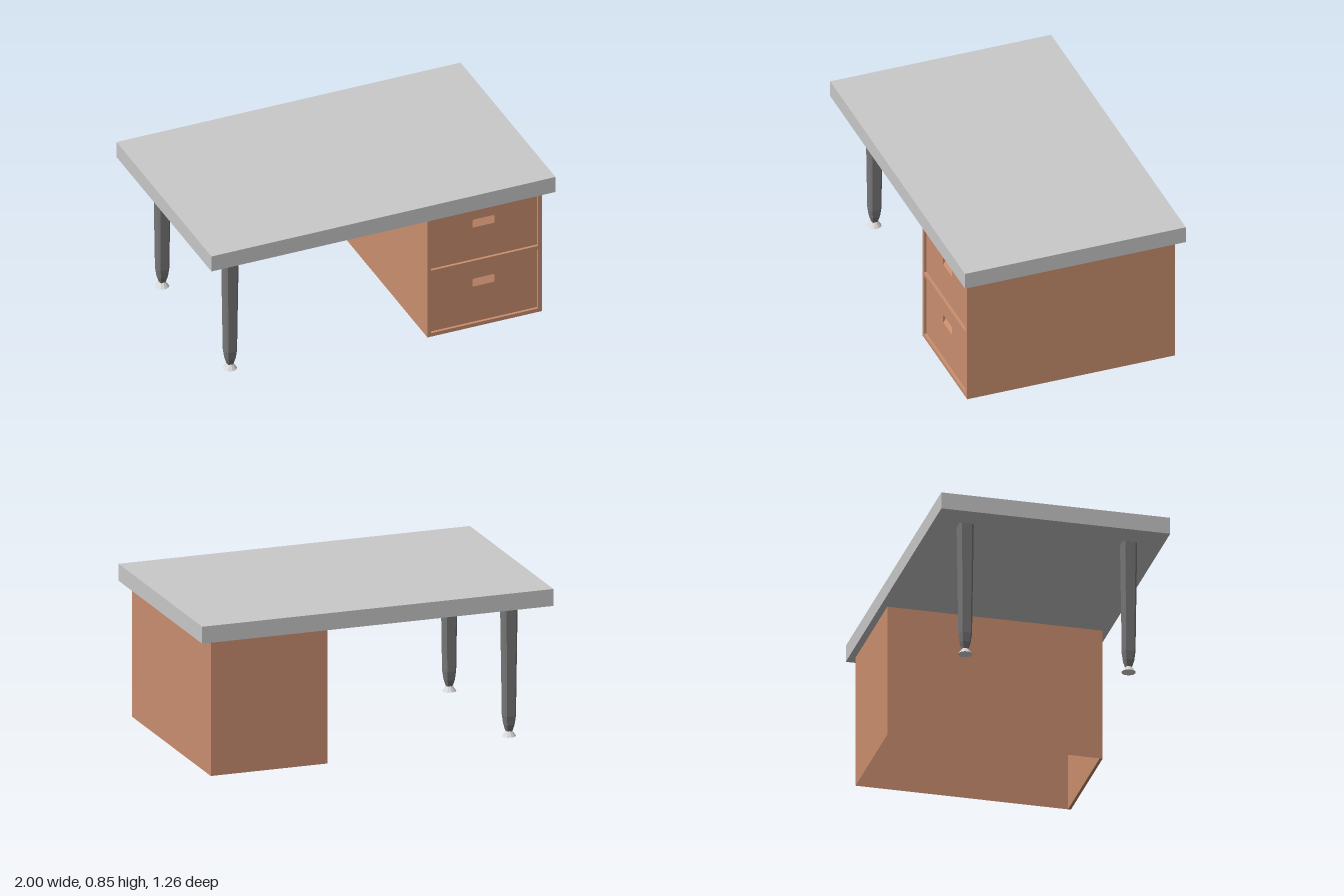
import * as THREE from 'three';

const desktopGrey = new THREE.MeshStandardMaterial({ color: 0xc9c9c9 });
desktopGrey.name = 'desktopGrey';
const cabinetOrange = new THREE.MeshStandardMaterial({ color: 0xca8f6f, side: THREE.DoubleSide });
cabinetOrange.name = 'cabinetOrange';
const legGrey = new THREE.MeshStandardMaterial({ color: 0x787878, side: THREE.DoubleSide });
legGrey.name = 'legGrey';
const footGrey = new THREE.MeshStandardMaterial({ color: 0xdadada });
footGrey.name = 'footGrey';

// Cabinet extents
const X0 = 0.272, X1 = 0.937, H = 0.752, Z = 0.593;
const RIM = 0.022, RECESS = 0.016;

function part(name, geometry, material, x = 0, y = 0, z = 0) {
  const m = new THREE.Mesh(geometry, material);
  m.name = name;
  m.position.set(x, y, z);
  return m;
}

function flat(geometry) {
  const g = geometry.index ? geometry.toNonIndexed() : geometry;
  g.computeVertexNormals();
  return g;
}

const points = (list) => list.map(([x, y]) => new THREE.Vector2(x, y));
const rect = (x0, y0, x1, y1) => points([[x0, y0], [x1, y0], [x1, y1], [x0, y1]]);

// Joins closed rings of equal length into flat-faced walls
function loft(rings) {
  const n = rings[0].length, index = [];
  for (let r = 0; r < rings.length - 1; r++) {
    for (let i = 0; i < n; i++) {
      const a = r * n + i, b = r * n + (i + 1) % n;
      index.push(a, b, b + n, a, b + n, a + n);
    }
  }
  const g = new THREE.BufferGeometry();
  g.setAttribute('position', new THREE.Float32BufferAttribute(rings.flat(2), 3));
  g.setIndex(index);
  return flat(g);
}

// Finger scoop: deepest at the top, flush with the drawer at the bottom
function createScoop(outline, bottom, top, depth) {
  const zAt = (y) => -depth * (y - bottom) / (top - bottom);
  const group = new THREE.Group();
  group.name = 'drawerScoop';
  const slope = new THREE.ShapeGeometry(new THREE.Shape(outline));
  const pos = slope.attributes.position;
  for (let i = 0; i < pos.count; i++) pos.setZ(i, zAt(pos.getY(i)));
  group.add(part('scoopSlope', flat(slope), cabinetOrange));
  const walls = loft([
    outline.map((p) => [p.x, p.y, zAt(p.y)]),
    outline.map((p) => [p.x, p.y, 0]),
  ]);
  group.add(part('scoopWalls', walls, cabinetOrange));
  return group;
}

function createDrawer(y0, y1, scoopTop) {
  const group = new THREE.Group();
  group.name = 'drawer';
  const xa = 0.54, xb = 0.67, c = 0.008, bottom = scoopTop - 0.05;
  const outline = points([[xa, bottom], [xb, bottom], [xb, scoopTop - c],
    [xb - c, scoopTop], [xa + c, scoopTop], [xa, scoopTop - c]]);
  const face = new THREE.Shape(rect(X0 + RIM, y0, X1 - RIM, y1));
  face.holes.push(new THREE.Path(outline));
  group.add(part('drawerFront', new THREE.ShapeGeometry(face), cabinetOrange));
  group.add(createScoop(outline, bottom, scoopTop, 0.03));
  group.position.z = Z - RECESS;
  return group;
}

function createCabinet() {
  const group = new THREE.Group();
  group.name = 'cabinet';
  const drawers = [[RIM, 0.392, 0.292], [0.414, H - 0.016, 0.662]];

  // Front frame around the recessed drawers
  const frame = new THREE.Shape(rect(X0, 0, X1, H));
  for (const [y0, y1] of drawers) {
    frame.holes.push(new THREE.Path(rect(X0 + RIM, y0, X1 - RIM, y1)));
  }
  group.add(part('cabinetFrame',
    new THREE.ExtrudeGeometry(frame, { depth: RECESS, bevelEnabled: false }),
    cabinetOrange, 0, 0, Z - RECESS));
  for (const d of drawers) group.add(createDrawer(...d));

  // Thin side and back panels, open underneath
  for (const side of [-1, 1]) {
    const panel = part('cabinetSide', new THREE.PlaneGeometry(2 * Z, H), cabinetOrange,
      side < 0 ? X0 : X1, H / 2, 0);
    panel.rotation.y = side * Math.PI / 2;
    group.add(panel);
  }
  const back = part('cabinetBack', new THREE.PlaneGeometry(X1 - X0, H), cabinetOrange,
    (X0 + X1) / 2, H / 2, -Z);
  back.rotation.y = Math.PI;
  group.add(back);
  return group;
}

// Square leg with chamfered corners, tapering to a narrow ankle
function createLeg(z) {
  const group = new THREE.Group();
  group.name = 'leg';
  const ring = (y, w) => {
    const k = w * 0.7;
    return [[w, k], [k, w], [-k, w], [-w, k], [-w, -k], [-k, -w], [k, -w], [w, -k]]
      .map(([px, pz]) => [px, y, -pz]);
  };
  const shaft = loft([ring(0.028, 0.016), ring(0.065, 0.026), ring(0.115, 0.032), ring(0.752, 0.04)]);
  group.add(part('legShaft', shaft, legGrey));
  group.add(part('foot', flat(new THREE.CylinderGeometry(0.017, 0.039, 0.03, 10)), footGrey, 0, 0.015, 0));
  group.position.set(-0.814, 0, z);
  return group;
}

export function createModel() {
  const model = new THREE.Group();
  model.name = 'desk';
  model.add(part('desktop', new THREE.BoxGeometry(2, 0.094, 1.26), desktopGrey, 0, 0.799, 0));
  model.add(createCabinet());
  for (const z of [0.45, -0.45]) model.add(createLeg(z));
  return model;
}
